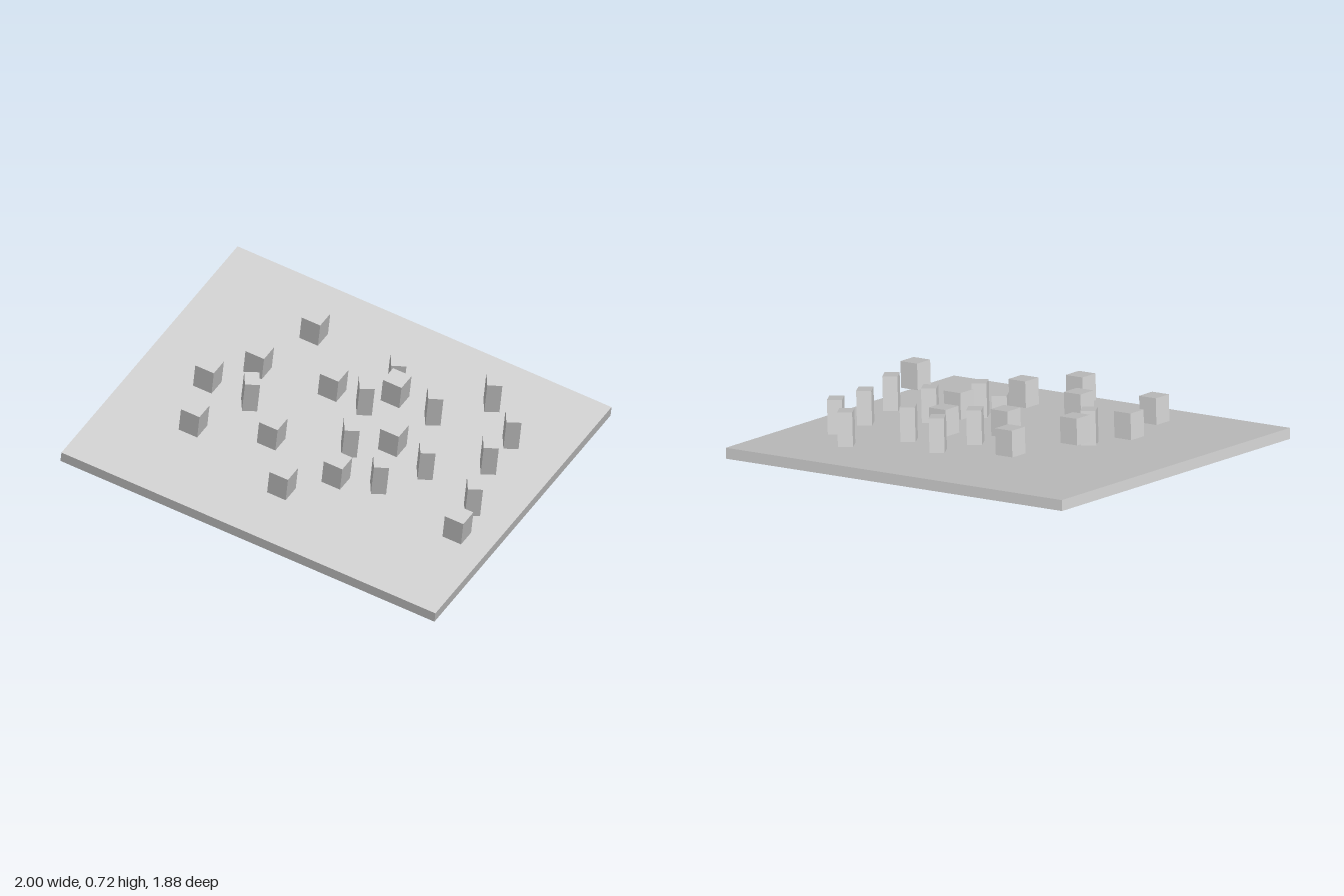
import * as THREE from 'three';

const TILT = THREE.MathUtils.degToRad(20);
const PLATE = { w: 1.514, h: 0.04, d: 1.308, turn: -42.14 };

// Two kinds of block; "lift" is the centre's distance above the plate's mid-plane.
// Spots are [x, z] of the block centres, seen from straight above.
const KINDS = [
  {
    name: 'cubeBlock', size: [0.075, 0.097, 0.075], turn: PLATE.turn, lift: 0.114,
    spots: [[0.02, -0.38], [-0.22, -0.245], [-0.415, -0.2], [0.015, -0.1], [0.23, -0.04], [-0.52, 0.005],
      [-0.26, 0.105], [0.16, 0.195], [-0.285, 0.35], [-0.08, 0.325], [0.28, 0.647]],
  },
  {
    name: 'tallBlock', size: [0.054, 0.126, 0.067], turn: -11, lift: 0.09,
    spots: [[0.26, -0.145], [-0.28, -0.125], [0.12, -0.05], [0.35, 0.032], [0.575, -0.005], [0.597, 0.182],
      [0.015, 0.145], [0.255, 0.29], [0.485, 0.295], [0.073, 0.337], [0.378, 0.487]],
  },
];

export function createModel() {
  const model = new THREE.Group();
  const material = new THREE.MeshStandardMaterial({ color: 0xcccccc, flatShading: true });

  // Everything lies in one sloping frame, lower at the front
  const slope = new THREE.Group();
  slope.name = 'slopingBoard';
  slope.rotation.x = TILT;
  slope.position.y = 0.359;
  model.add(slope);

  const addBox = (name, size, turn, x, y, z) => {
    const mesh = new THREE.Mesh(new THREE.BoxGeometry(...size), material);
    mesh.name = name;
    mesh.position.set(x, y, z);
    mesh.rotation.y = THREE.MathUtils.degToRad(turn);
    slope.add(mesh);
  };

  // Base plate
  addBox('plate', [PLATE.w, PLATE.h, PLATE.d], PLATE.turn, 0, 0, 0);

  // Blocks, with their overhead z converted to distance along the slope
  for (const { name, size, turn, lift, spots } of KINDS) {
    for (const [x, z] of spots) {
      addBox(name, size, turn, x, lift, (z - lift * Math.sin(TILT)) / Math.cos(TILT));
    }
  }
  return model;
}
